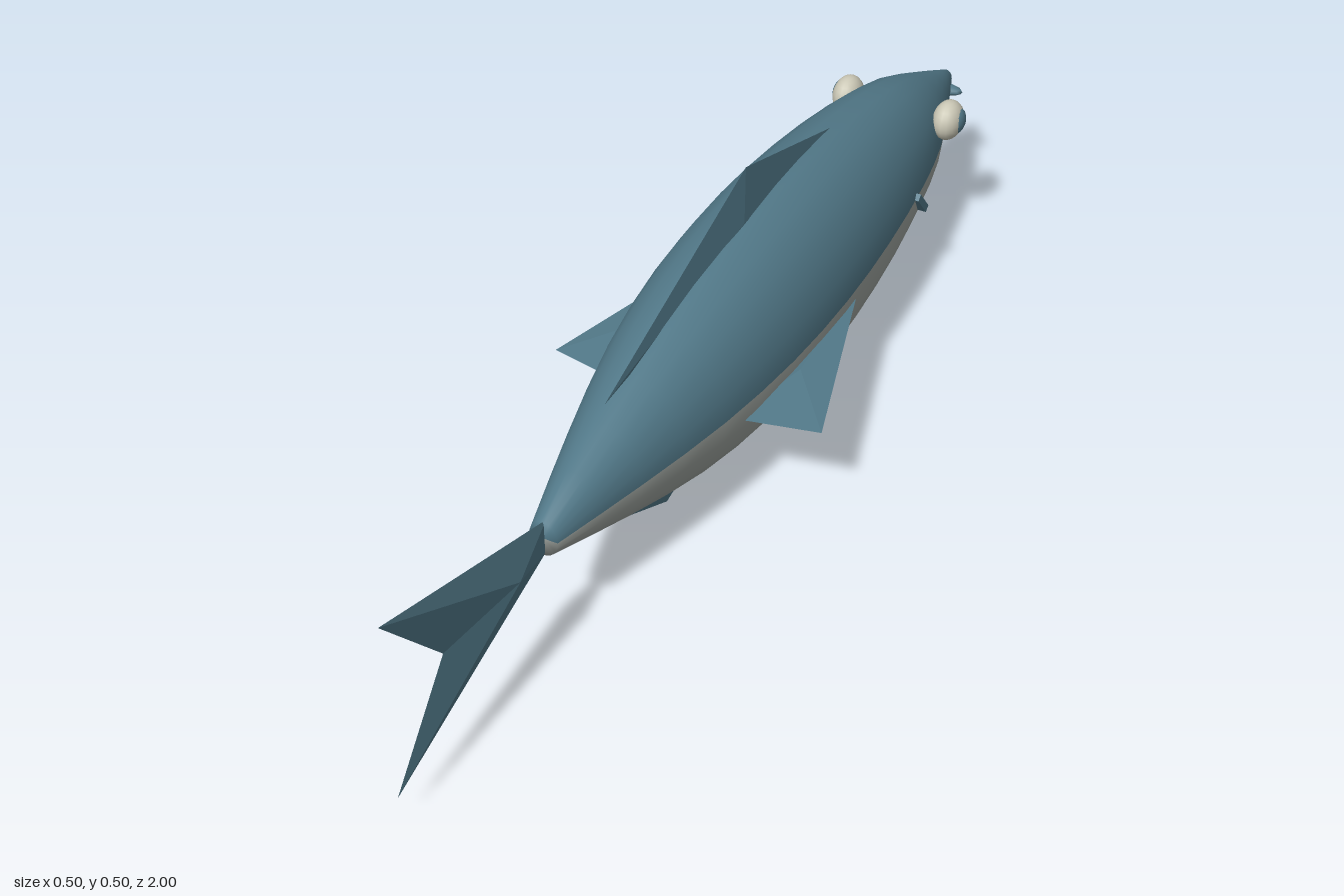
import * as THREE from 'three';

const blue = new THREE.MeshStandardMaterial({ color: 0x527989 });
blue.name = 'slate blue';
const belly = new THREE.MeshStandardMaterial({ color: 0x9ea49f });
belly.name = 'belly grey';
const ivory = new THREE.MeshStandardMaterial({ color: 0xcbc8b6 });
ivory.name = 'eye ivory';
const blueFlat = new THREE.MeshStandardMaterial({ color: 0x527989, flatShading: true });
blueFlat.name = 'slate blue fin';

const MID = 0.2235;

// Spindle body with a 22-sided oval section: dark back, pale belly
function bodyGeometry() {
  const profile = new THREE.CatmullRomCurve3([
    [-1, 0.017], [-0.9, 0.063], [-0.75, 0.125], [-0.6, 0.16], [-0.4, 0.187], [-0.2, 0.198],
    [0, 0.189], [0.2, 0.155], [0.4, 0.096], [0.58, 0.033],
  ].map(([z, r]) => new THREE.Vector3(r, 0, z)));
  const rings = profile.getPoints(18);
  const sides = 22;
  const positions = [];
  for (const { x: r, z } of rings) {
    for (let j = 0; j < sides; j++) {
      const a = (j / sides) * Math.PI * 2;
      positions.push(0.755 * r * Math.cos(a), MID + r * Math.sin(a), z);
    }
  }
  const nose = positions.length / 3;
  positions.push(0, MID, -1.0, 0, MID, 0.58);
  const last = (rings.length - 1) * sides;
  const half = (from) => {
    const out = [];
    for (let j = from; j < from + sides / 2; j++) {
      const k = (j + 1) % sides;
      for (let i = 0; i < rings.length - 1; i++) {
        const a = i * sides + j, b = i * sides + k;
        out.push(a, b, a + sides, b, b + sides, a + sides);
      }
      out.push(nose, k, j, nose + 1, last + j, last + k);
    }
    return out;
  };
  const top = half(0), bottom = half(sides / 2);
  const g = new THREE.BufferGeometry();
  g.setAttribute('position', new THREE.Float32BufferAttribute(positions, 3));
  g.setIndex([...top, ...bottom]);
  g.addGroup(0, top.length, 0);
  g.addGroup(top.length, bottom.length, 1);
  g.computeVertexNormals();
  return g;
}

// Faceted fin: an outline joined to a raised ridge point on each side
function finGeometry(outline, ridgeA, ridgeB) {
  const v = [];
  outline.forEach((p, i) => {
    const q = outline[(i + 1) % outline.length];
    v.push(...p, ...q, ...ridgeA, ...q, ...p, ...ridgeB);
  });
  const g = new THREE.BufferGeometry();
  g.setAttribute('position', new THREE.Float32BufferAttribute(v, 3));
  g.computeVertexNormals();
  return g;
}

// Upright fin on the centre plane, given as [z, y] pairs
function uprightFin(outline, [z, y], thick) {
  return finGeometry(outline.map(([pz, py]) => [0, py, pz]), [thick, y, z], [-thick, y, z]);
}

export function createModel() {
  const fish = new THREE.Group();
  fish.name = 'fish';
  const add = (name, geometry, material) => {
    const m = new THREE.Mesh(geometry, material);
    m.name = name;
    fish.add(m);
    return m;
  };

  add('body', bodyGeometry(), [blue, belly]);

  // Centre fins
  add('tailFin', uprightFin(
    [[0.57, 0.253], [1, 0.39], [0.86, MID], [1, 0.06], [0.57, 0.194]], [0.68, MID], 0.02), blueFlat);
  add('dorsalFin', uprightFin(
    [[0.385, 0.345], [-0.5, 0.385], [-0.1, 0.508]], [-0.07, 0.418], 0.013), blueFlat);
  add('analFin', uprightFin(
    [[0.405, 0.115], [0.19, 0.005], [-0.02, 0.055]], [0.19, 0.057], 0.01), blueFlat);

  // Paired parts
  for (const [side, s] of [['left', 1], ['right', -1]]) {
    const outline = [[s * 0.13, 0.2, -0.3], [s * 0.1, 0.187, 0.145], [s * 0.25, 0.193, 0.12]];
    if (s < 0) outline.reverse();
    add(side + 'PectoralFin', finGeometry(outline,
      [s * 0.15, 0.202, -0.01], [s * 0.135, 0.172, -0.01]), blueFlat);

    const eye = add(side + 'Eye', new THREE.SphereGeometry(1, 16, 12), ivory);
    eye.scale.set(0.029, 0.039, 0.04);
    eye.position.set(s * 0.104, 0.283, -0.753);

    const pupil = add(side + 'Pupil', new THREE.SphereGeometry(1, 14, 10), blue);
    pupil.scale.set(0.016, 0.026, 0.026);
    pupil.position.set(s * 0.12, 0.283, -0.757);

    // Slanted gill mark
    const gill = add(side + 'Gill', new THREE.BoxGeometry(0.02, 0.062, 0.014), blueFlat);
    gill.position.set(s * 0.124, 0.206, -0.573);
    gill.rotation.x = 0.72;
  }

  // Lips stick out on both sides of the snout
  const mouth = add('mouth', new THREE.SphereGeometry(1, 12, 8), blue);
  mouth.scale.set(0.05, 0.012, 0.018);
  mouth.position.set(0, 0.218, -0.966);

  return fish;
}
